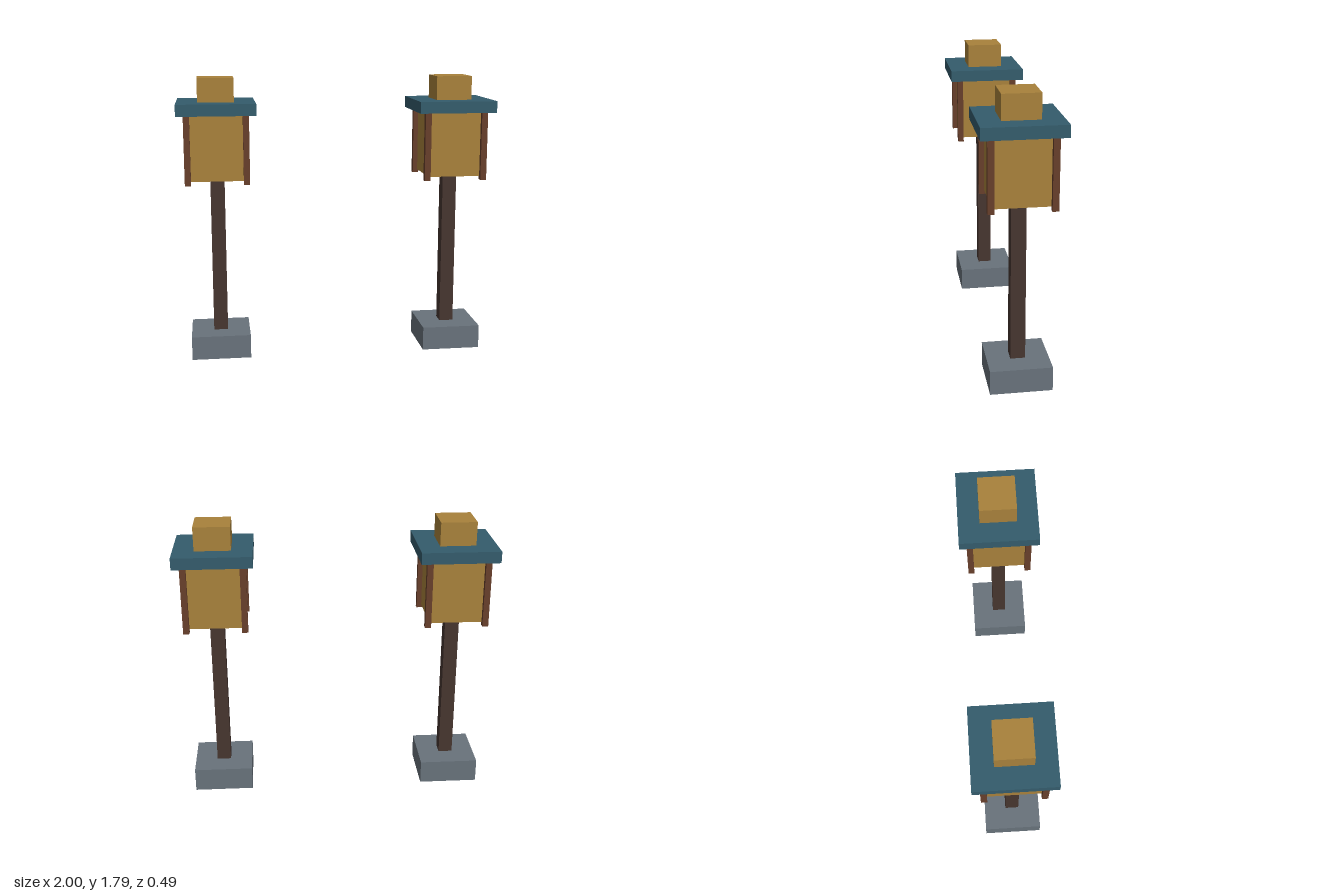
import * as THREE from 'three';

const material = (name, color) => {
  const m = new THREE.MeshStandardMaterial({ color });
  m.name = name;
  return m;
};

export function createModel() {
  const stone = material('grey stone', 0x68727b);
  const darkWood = material('dark wood', 0x46352f);
  const brownWood = material('brown wood', 0x673f2b);
  const amber = material('amber panel', 0xa8813b);
  const teal = material('teal roof', 0x345c6c);

  // Square box standing between two heights
  const block = (parent, name, mat, width, bottom, top, x = 0, z = 0) => {
    const mesh = new THREE.Mesh(new THREE.BoxGeometry(width, top - bottom, width), mat);
    mesh.name = name;
    mesh.position.set(x, (bottom + top) / 2, z);
    parent.add(mesh);
  };

  const model = new THREE.Group();
  model.name = 'lanternPair';

  for (const side of [-1, 1]) {
    const lantern = new THREE.Group();
    lantern.name = side > 0 ? 'leftLantern' : 'rightLantern';
    lantern.position.x = side * 0.755;

    block(lantern, 'base', stone, 0.376, 0, 0.151);
    block(lantern, 'pole', darkWood, 0.09, 0.151, 1.155);
    block(lantern, 'lanternBody', amber, 0.342, 1.155, 1.567);

    // Corner posts, hanging slightly below the body
    for (const x of [-1, 1]) {
      for (const z of [-1, 1]) {
        block(lantern, 'cornerPost', brownWood, 0.038, 1.134, 1.567, x * 0.182, z * 0.182);
      }
    }

    block(lantern, 'roof', teal, 0.49, 1.567, 1.64);
    block(lantern, 'roofCap', amber, 0.226, 1.64, 1.79);
    model.add(lantern);
  }
  return model;
}
